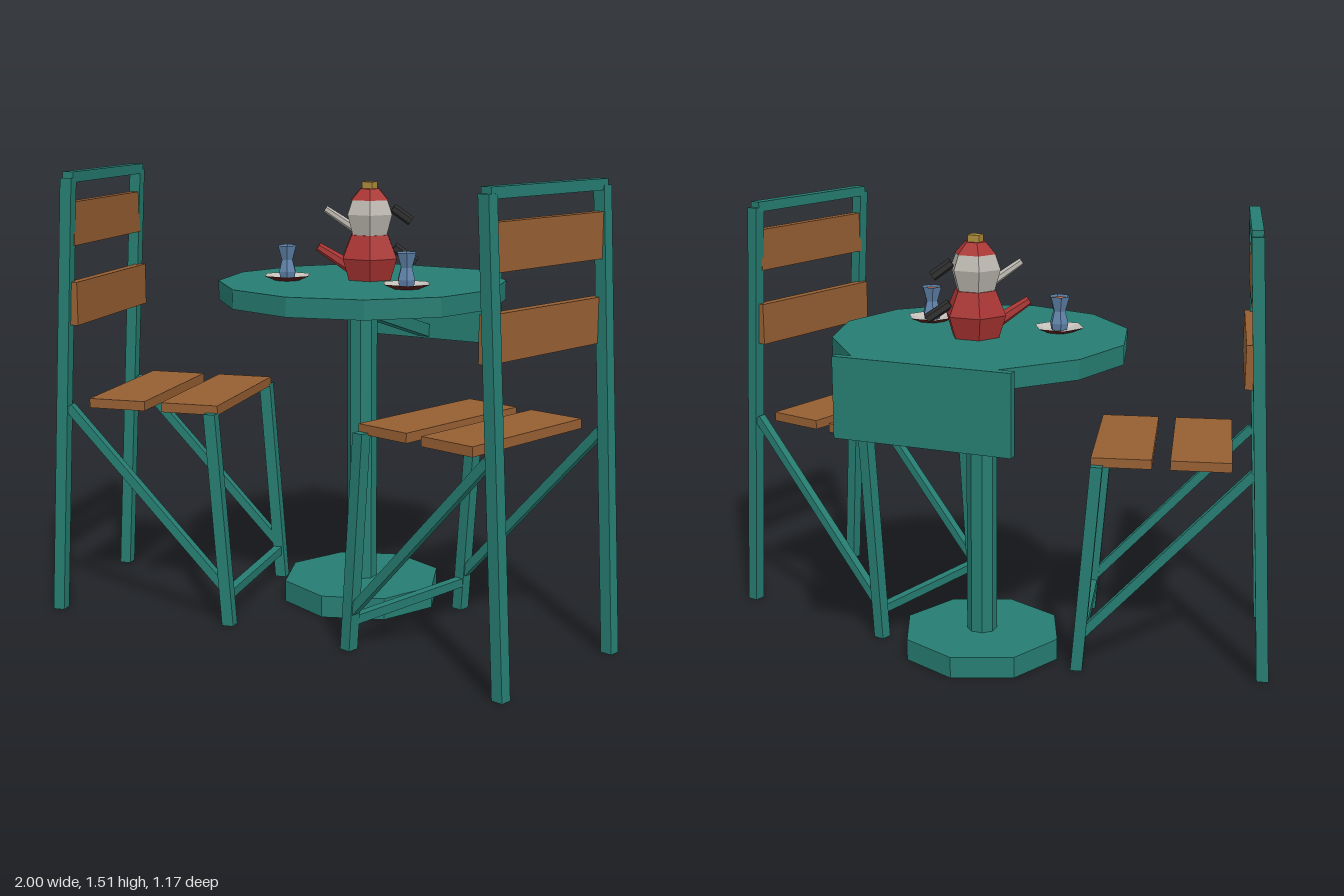
import * as THREE from 'three';

const mat = (color, side = THREE.FrontSide) =>
  new THREE.MeshStandardMaterial({ color, flatShading: true, side });
const TEAL = mat(0x267d72), WOOD = mat(0x965f33), RED = mat(0xa83432), SILVER = mat(0xbcb8b0);
const GOLD = mat(0xb08d3c), BLACK = mat(0x2b2b2b), MAROON = mat(0x5a1d1b);
const CHINA = mat(0xc4c0ba, THREE.DoubleSide), GLASS = mat(0x5f83ab, THREE.DoubleSide), TEA = mat(0xb5644a);

function add(parent, name, geometry, material, x = 0, y = 0, z = 0) {
  const mesh = new THREE.Mesh(geometry, material);
  mesh.name = name;
  mesh.position.set(x, y, z);
  parent.add(mesh);
  return mesh;
}

// Box given by its minimum and maximum corners
function box(parent, name, material, [x0, y0, z0], [x1, y1, z1]) {
  return add(parent, name, new THREE.BoxGeometry(x1 - x0, y1 - y0, z1 - z0), material,
    (x0 + x1) / 2, (y0 + y1) / 2, (z0 + z1) / 2);
}

// Upright post leaning along x, with level ends
function post(parent, name, x0, x1, height, z, size) {
  const g = new THREE.BoxGeometry(size, height, size).translate(0, height / 2, 0);
  const p = g.attributes.position;
  for (let i = 0; i < p.count; i++) p.setX(i, p.getX(i) + x0 + (x1 - x0) * p.getY(i) / height);
  g.computeVertexNormals();
  return add(parent, name, g, TEAL, 0, 0, z);
}

// Straight bar between two points: square when sides = 0, otherwise a tapered prism
function bar(parent, name, material, a, b, size, sides = 0, endSize = size) {
  const from = new THREE.Vector3(...a), to = new THREE.Vector3(...b);
  const len = from.distanceTo(to);
  const g = sides ? new THREE.CylinderGeometry(endSize, size, len, sides)
    : new THREE.BoxGeometry(size, len, size);
  const m = add(parent, name, g, material);
  m.position.copy(from).add(to).multiplyScalar(0.5);
  m.quaternion.setFromUnitVectors(new THREE.Vector3(0, 1, 0), to.sub(from).normalize());
  return m;
}

// Six-sided turned part with corners on the x axis
function hexLathe(parent, name, material, profile) {
  const pts = profile.map(([r, y]) => new THREE.Vector2(r, y));
  return add(parent, name, new THREE.LatheGeometry(pts, 6, Math.PI / 6), material);
}

function makeTable() {
  const table = new THREE.Group();
  table.name = 'table';
  table.position.z = -0.085;
  // Twelve-sided top with the back trimmed straight for the drop leaf
  const g = new THREE.CylinderGeometry(0.495, 0.495, 0.065, 12);
  const p = g.attributes.position;
  for (let i = 0; i < p.count; i++) if (p.getZ(i) < -0.42) p.setZ(i, -0.465);
  g.computeVertexNormals();
  add(table, 'tableTop', g, TEAL, 0, 1.0975, 0);
  box(table, 'dropLeaf', TEAL, [-0.3, 0.865, -0.495], [0.3, 1.13, -0.465]);
  add(table, 'pillar', new THREE.CylinderGeometry(0.052, 0.052, 1.0, 8, 1, false, Math.PI / 8), TEAL, 0, 0.57, 0);
  add(table, 'base', new THREE.CylinderGeometry(0.28, 0.28, 0.075, 8), TEAL, 0, 0.0375, 0);
  bar(table, 'leafSupport', TEAL, [0, 1.025, -0.02], [0, 0.893, -0.47], 0.045);
  return table;
}

// Chair with its seat front near local x = 0 and its back towards +x
function makeChair(name) {
  const chair = new THREE.Group();
  chair.name = name;
  for (const s of [-1, 1]) {
    post(chair, 'frontLeg', 0, 0.055, 0.725, s * 0.28, 0.04);
    post(chair, 'backLeg', 0.625, 0.542, 1.49, s * 0.28, 0.04);
    bar(chair, 'sideBrace', TEAL, [0.015, 0.13, s * 0.28], [0.565, 0.72, s * 0.28], 0.03);
  }
  box(chair, 'floorStretcher', TEAL, [-0.005, 0.085, -0.28], [0.025, 0.115, 0.28]);
  box(chair, 'topRail', TEAL, [0.522, 1.475, -0.285], [0.56, 1.51, 0.285]);
  for (const x of [0.035, 0.295])
    box(chair, 'seatSlat', WOOD, [x, 0.718, -0.272], [x + 0.2, 0.75, 0.272]);
  box(chair, 'lowerBackSlat', WOOD, [0.522, 1.0, -0.285], [0.555, 1.145, 0.285]);
  box(chair, 'upperBackSlat', WOOD, [0.532, 1.265, -0.27], [0.563, 1.41, 0.27]);
  return chair;
}

// Two stacked teapots
function makeTeapots() {
  const pots = new THREE.Group();
  pots.name = 'teapots';
  pots.position.set(0, 1.13, -0.135);
  hexLathe(pots, 'lowerPot', RED, [[0, 0], [0.083, 0], [0.107, 0.075], [0.072, 0.155], [0, 0.155]]);
  hexLathe(pots, 'upperPot', SILVER, [[0, 0.15], [0.066, 0.15], [0.088, 0.225], [0.068, 0.278], [0, 0.278]]);
  hexLathe(pots, 'lid', RED, [[0, 0.274], [0.072, 0.274], [0.036, 0.312], [0, 0.312]]);
  box(pots, 'lidKnob', GOLD, [-0.02, 0.308, -0.02], [0.02, 0.335, 0.02]);
  bar(pots, 'lowerSpout', RED, [-0.04, 0.03, 0.025], [-0.152, 0.113, 0.092], 0.024, 6, 0.015);
  bar(pots, 'upperSpout', SILVER, [-0.03, 0.165, 0.02], [-0.13, 0.243, 0.08], 0.016, 6, 0.012);
  bar(pots, 'lowerHandle', BLACK, [0.072, 0.11, -0.045], [0.14, 0.06, -0.08], 0.017, 6);
  bar(pots, 'upperHandle', BLACK, [0.068, 0.245, -0.04], [0.124, 0.2, -0.07], 0.017, 6);
  return pots;
}

function makeTeaGlass(name, x) {
  const set = new THREE.Group();
  set.name = name;
  set.position.set(x, 1.13, 0.03);
  // Saucer with a dark underside and a pale dished top
  hexLathe(set, 'saucerUnderside', MAROON, [[0, 0], [0.045, 0], [0.086, 0.017]]);
  hexLathe(set, 'saucerTop', CHINA, [[0.086, 0.018], [0.045, 0.006], [0, 0.006]]);
  // Waisted glass filled with tea
  hexLathe(set, 'glass', GLASS, [[0, 0.008], [0.028, 0.008], [0.032, 0.03], [0.021, 0.07], [0.036, 0.12]]);
  add(set, 'tea', new THREE.CylinderGeometry(0.031, 0.026, 0.015, 6, 1, false, Math.PI / 6), TEA, 0, 0.105, 0);
  return set;
}

export function createModel() {
  const model = new THREE.Group();
  model.name = 'cafeTableSet';
  model.add(makeTable(), makeTeapots());
  for (const s of [-1, 1]) {
    const side = s > 0 ? 'left' : 'right';
    const chair = makeChair(side + 'Chair');
    const turn = THREE.MathUtils.degToRad(13.9);
    chair.position.set(s * 0.3, 0, 0.14);
    chair.rotation.y = s > 0 ? -turn : Math.PI + turn;
    model.add(chair, makeTeaGlass(side + 'TeaGlass', s * 0.232));
  }
  return model;
}
